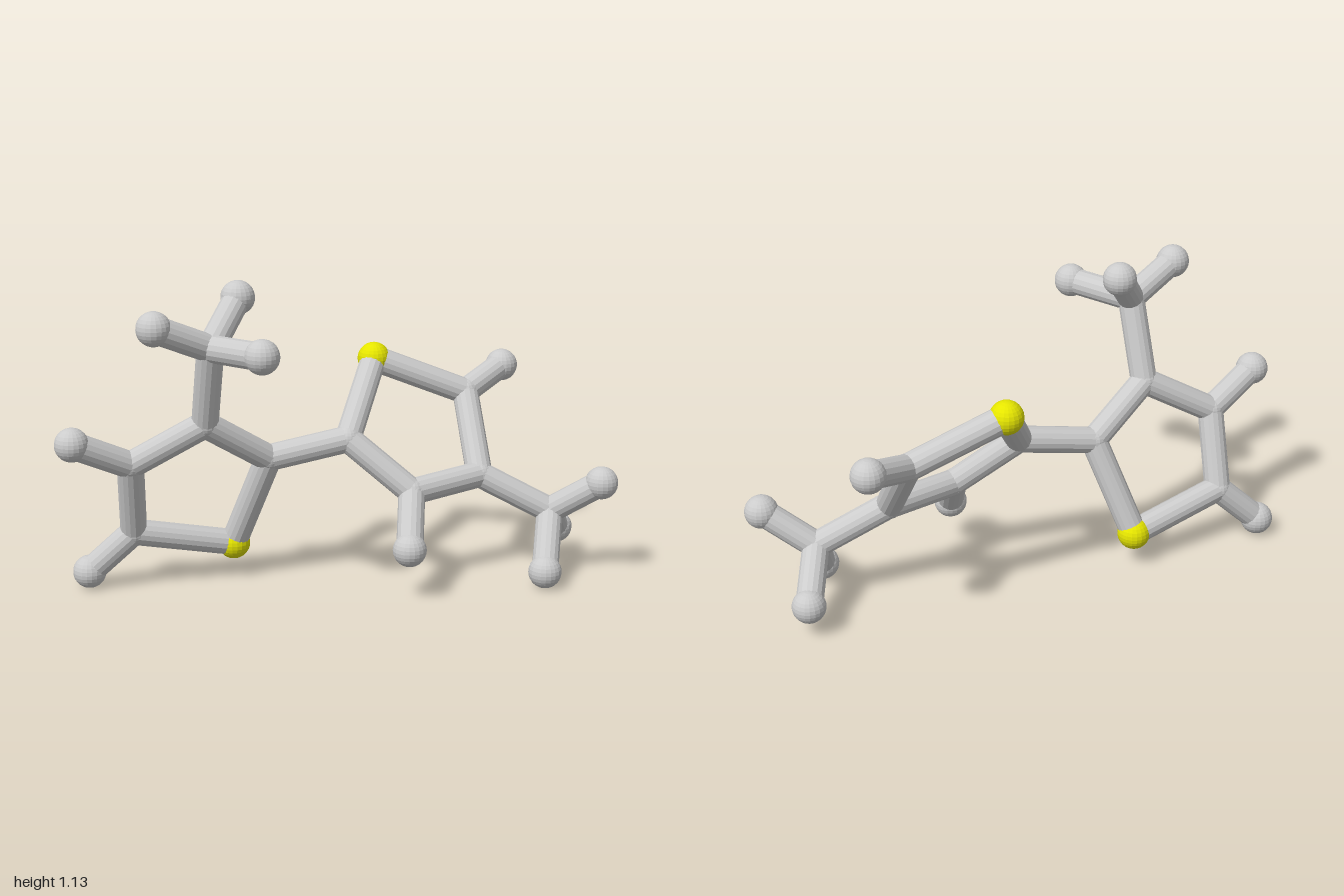
import * as THREE from 'three';

const BOND_R = 0.048, BALL_R = 0.06;

// Atom centres: c = carbon joint, s = yellow atom, h = end ball
const ATOMS = {
  // right-hand ring (-x) with its three-pronged branch
  cA1: [-0.24, 0.478, -0.06], cA2: [-0.48, 0.635, 0.005], cA3: [-0.735, 0.49, -0.055],
  cA4: [-0.715, 0.21, -0.16], sA: [-0.345, 0.13, -0.185],
  hA3: [-0.942, 0.592, -0.005], hA4: [-0.873, 0.062, -0.198],
  cA5: [-0.475, 0.925, 0.105], hA5: [-0.675, 1.014, 0.155],
  hA6: [-0.35, 1.07, -0.028], hA7: [-0.346, 0.937, 0.325],
  // left-hand ring (+x) with its three-pronged branch
  cB1: [0.045, 0.535, -0.03], cB2: [0.25, 0.355, 0.085], cB3: [0.533, 0.375, 0.005],
  cB4: [0.55, 0.633, -0.215], sB: [0.21, 0.768, -0.27],
  hB2: [0.197, 0.19, 0.235], hB4: [0.73, 0.7, -0.322],
  cB5: [0.782, 0.24, 0.08], hB5: [0.938, 0.362, 0.183],
  hB6: [0.708, 0.062, 0.236], hB7: [0.88, 0.115, -0.093],
};

const BONDS = [
  ['cA1', 'cB1'],
  ...['A', 'B'].flatMap((k) => [1, 2, 3, 4].map((i) =>
    ['c' + k + i, i < 4 ? 'c' + k + (i + 1) : 's' + k])),
  ['sA', 'cA1'], ['sB', 'cB1'],
  ['cA3', 'hA3'], ['cA4', 'hA4'], ['cB2', 'hB2'], ['cB4', 'hB4'],
  ['cA2', 'cA5'], ['cB3', 'cB5'],
  ...['A', 'B'].flatMap((k) => [5, 6, 7].map((i) => ['c' + k + 5, 'h' + k + i])),
];

export function createModel() {
  const model = new THREE.Group();
  model.name = 'molecule';
  const grey = new THREE.MeshStandardMaterial({ color: 0xcccccc, flatShading: true });
  const yellow = new THREE.MeshStandardMaterial({ color: 0xe6e600, flatShading: true });
  const ball = new THREE.SphereGeometry(BALL_R, 20, 14);
  const joint = new THREE.SphereGeometry(BOND_R * 1.03, 20, 14);
  const point = (key) => new THREE.Vector3(...ATOMS[key]);

  // Balls at the ends, slim joints where rods meet
  const kinds = {
    c: ['carbonJoint', joint, grey],
    s: ['sulfurBall', ball, yellow],
    h: ['hydrogenBall', ball, grey],
  };
  for (const key of Object.keys(ATOMS)) {
    const [name, geometry, material] = kinds[key[0]];
    const atom = new THREE.Mesh(geometry, material);
    atom.name = name;
    atom.position.copy(point(key));
    model.add(atom);
  }

  // Straight rods between bonded atoms
  const up = new THREE.Vector3(0, 1, 0);
  for (const [from, to] of BONDS) {
    const a = point(from), b = point(to);
    const direction = b.clone().sub(a);
    const rod = new THREE.Mesh(
      new THREE.CylinderGeometry(BOND_R, BOND_R, direction.length(), 16), grey);
    rod.name = 'bondRod';
    rod.position.copy(a).add(b).multiplyScalar(0.5);
    rod.quaternion.setFromUnitVectors(up, direction.normalize());
    model.add(rod);
  }
  return model;
}
